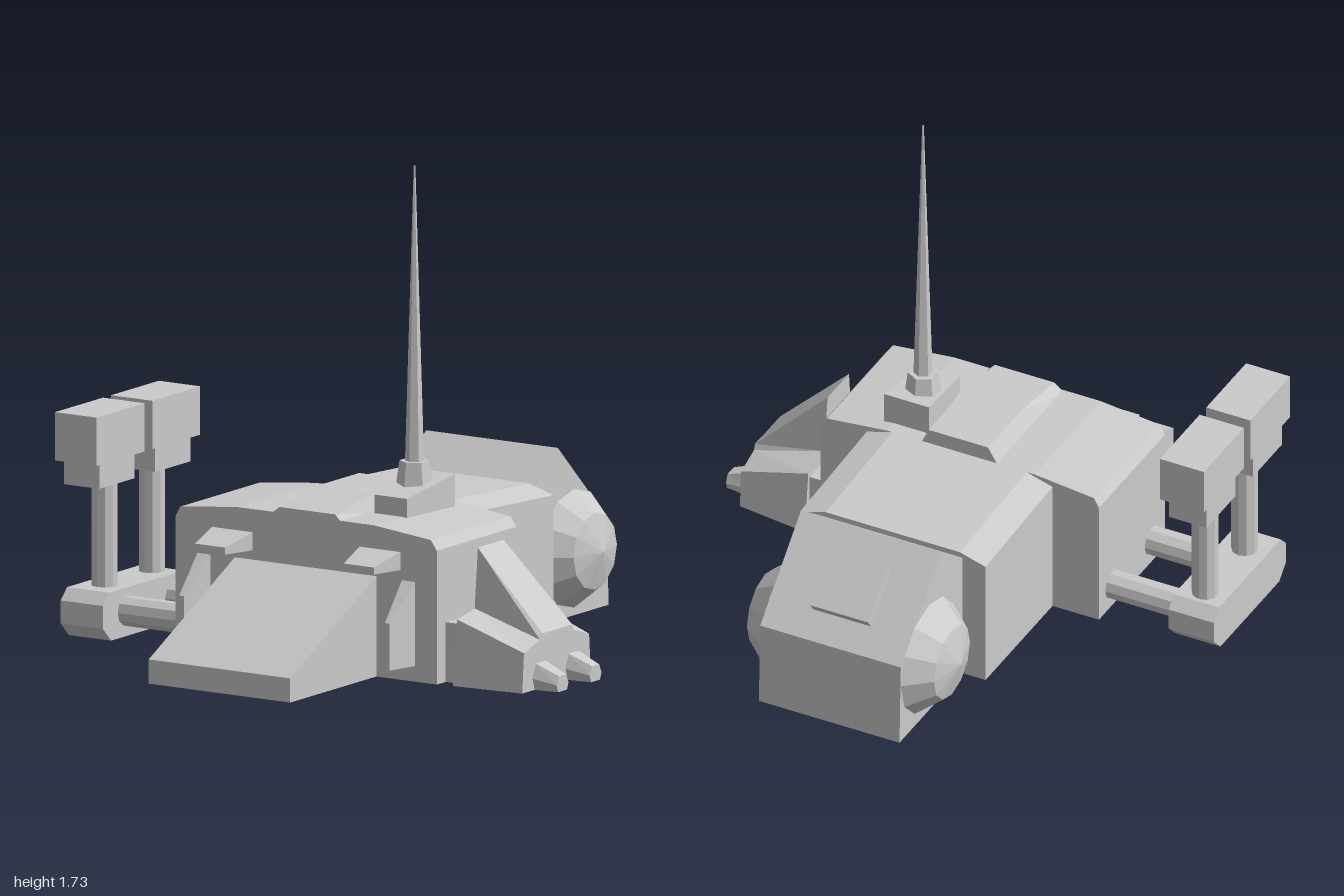
import * as THREE from 'three';

const grey = new THREE.MeshStandardMaterial({ color: 0xcccccc, flatShading: true, side: THREE.DoubleSide });

// Joins equal-length cross-sections [t, [[a, b], ...]] placed along an axis, with closed ends.
// Axis 'z': points are (x, y). Axis 'x': points are (z, y).
function loft(axis, sections) {
  const n = sections[0][1].length;
  const place = (t, [a, b]) => (axis === 'z' ? [a, b, t] : [t, b, a]);
  const pos = sections.flatMap(([t, pts]) => pts.flatMap((p) => place(t, p)));
  let idx = [];
  for (let s = 0; s < sections.length - 1; s++) {
    for (let i = 0; i < n; i++) {
      const a = s * n + i, b = s * n + (i + 1) % n;
      idx.push(a, b, b + n, a, b + n, a + n);
    }
  }
  const outline = (k) => sections[k][1].map(([a, b]) => new THREE.Vector2(a, b));
  const ccw = !THREE.ShapeUtils.isClockWise(outline(0));
  const last = sections.length - 1;
  for (const [k, flip] of [[0, true], [last, false]]) {
    for (const f of THREE.ShapeUtils.triangulateShape(outline(k), [])) {
      const [a, b, c] = f.map((i) => i + k * n);
      const u = outline(k);
      const area = (u[f[1]].x - u[f[0]].x) * (u[f[2]].y - u[f[0]].y) - (u[f[1]].y - u[f[0]].y) * (u[f[2]].x - u[f[0]].x);
      const turn = (area > 0) === ccw;
      idx.push(...(turn !== flip ? [a, b, c] : [a, c, b]));
    }
  }
  // Turn every face outward if the enclosed volume comes out negative
  const v = (i) => new THREE.Vector3().fromArray(pos, i * 3);
  let volume = 0;
  for (let i = 0; i < idx.length; i += 3) volume += v(idx[i]).dot(v(idx[i + 1]).cross(v(idx[i + 2])));
  if (volume < 0) idx = idx.reverse();
  const g = new THREE.BufferGeometry();
  g.setAttribute('position', new THREE.Float32BufferAttribute(pos, 3));
  g.setIndex(idx);
  const flat = g.toNonIndexed();
  flat.computeVertexNormals();
  return flat;
}

const rect = (a0, a1, b0, b1) => [[a0, b0], [a1, b0], [a1, b1], [a0, b1]];

export function createModel() {
  const model = new THREE.Group();
  const add = (name, geometry, parent = model) => {
    const mesh = new THREE.Mesh(geometry, grey);
    mesh.name = name;
    parent.add(mesh);
    return mesh;
  };
  const box = (name, x0, x1, y0, y1, z0, z1, parent) =>
    add(name, loft('z', [[z0, rect(x0, x1, y0, y1)], [z1, rect(x0, x1, y0, y1)]]), parent);

  // Wide main hull with a softly arched roof
  const hull = [[-0.53, 0], [0.55, 0], [0.55, 0.47], [0.525, 0.505], [0.29, 0.53], [-0.28, 0.53], [-0.51, 0.505], [-0.53, 0.47]];
  add('mainHull', loft('z', [[-0.03, hull], [0.465, hull]]));

  // Narrower rear hull, dropping slightly to the back
  const rear = (top) => [[-0.35, 0], [0.37, 0], [0.37, top - 0.03], [0.27, top], [-0.25, top], [-0.35, top - 0.03]];
  add('rearHull', loft('z', [[-0.53, rear(0.505)], [-0.03, rear(0.53)]]));

  // Raised roof panel
  const roof = [[-0.14, 0.52], [0.16, 0.52], [0.13, 0.585], [-0.1, 0.585]];
  add('roofPanel', loft('z', [[-0.03, roof], [0.22, roof], [0.465, roof.map(([x, y]) => [x, Math.min(y, 0.55)])]]));

  // Tail block with a peaked top
  const tail = [[-0.53, 0], [-0.53, 0.485], [-0.685, 0.605], [-0.99, 0.31], [-1, 0]];
  add('tailBlock', loft('x', [[-0.26, tail], [0.285, tail]]));

  // Faceted domes on both tail sides
  for (const s of [-1, 1]) {
    const profile = [[0.21, 0], [0.135, 0.09], [0, 0.125]].map(([r, h]) => new THREE.Vector2(r, h));
    const dome = add(s > 0 ? 'leftTailDome' : 'rightTailDome', new THREE.LatheGeometry(profile, 12));
    dome.rotation.z = -s * Math.PI / 2;
    dome.position.set(s > 0 ? 0.283 : -0.262, 0.235, -0.785);
  }

  // Hatch lying on the rear slope
  const hatch = [[-0.76, 0.52], [-0.79, 0.552], [-0.935, 0.415], [-0.91, 0.38]];
  add('tailHatch', loft('x', [[-0.105, hatch], [0.12, hatch]]));

  // Sloped nose
  const nose = [[0.46, 0], [1, 0], [1, 0.085], [0.46, 0.355]];
  add('noseRamp', loft('x', [[-0.285, nose], [0.3, nose]]));

  for (const s of [-1, 1]) {
    const side = s > 0 ? 'left' : 'right';
    const cx = (x) => 0.01 + s * x;
    // Headlight housings above the nose
    add(side + 'Headlight', loft('z', [
      [0.46, rect(cx(0.22), cx(0.39), 0.385, 0.45)],
      [0.6, rect(cx(0.245), cx(0.37), 0.39, 0.415)],
    ]));
    // Thin tapering fins beside the nose
    add(side + 'NoseFin', loft('z', [
      [0.46, rect(cx(0.395), cx(0.45), 0.055, 0.355)],
      [0.6, rect(cx(0.415), cx(0.435), 0.06, 0.225)],
    ]));
  }

  // Antenna on its wedge mount
  const antenna = new THREE.Group();
  antenna.name = 'antenna';
  model.add(antenna);
  add('antennaMount', loft('z', [
    [0.02, rect(0.155, 0.33, 0.51, 0.64)],
    [0.29, rect(0.175, 0.31, 0.51, 0.595)],
  ]), antenna);
  add('antennaSocket', new THREE.CylinderGeometry(0.052, 0.066, 0.1, 6), antenna).position.set(0.235, 0.645, 0.13);
  add('antennaSpike', new THREE.CylinderGeometry(0.003, 0.033, 1.04, 6), antenna).position.set(0.235, 1.21, 0.13);

  // Side pod on the left, with a short connector and two nozzles
  const pod = new THREE.Group();
  pod.name = 'sidePod';
  model.add(pod);
  box('podConnector', 0.54, 0.62, 0, 0.21, 0.005, 0.41, pod);
  add('podShell', loft('x', [
    [0.61, [[-0.03, 0], [-0.005, 0.23], [0.115, 0.25], [0.14, 0.46], [0.3, 0.46], [0.32, 0.25], [0.43, 0.23], [0.455, 0]]],
    [0.88, [[0.005, 0], [0.015, 0.14], [0.11, 0.17], [0.12, 0.19], [0.305, 0.19], [0.32, 0.17], [0.42, 0.14], [0.43, 0]]],
  ]), pod);
  for (const z of [0.11, 0.315]) {
    const ring = (w, h) => [[z - w * 0.75, 0], [z - w, h * 0.45], [z - w * 0.6, h], [z + w * 0.6, h], [z + w, h * 0.45], [z + w * 0.75, 0]];
    add('podNozzle', loft('x', [[0.87, ring(0.053, 0.095)], [0.97, ring(0.037, 0.055)]]), pod);
  }

  // Twin columns on the right, sharing one chamfered foot
  const columns = new THREE.Group();
  columns.name = 'columns';
  model.add(columns);
  const foot = [[0.02, 0], [0.46, 0], [0.51, 0.05], [0.51, 0.13], [0.47, 0.17], [0.01, 0.17], [-0.03, 0.13], [-0.03, 0.05]];
  add('columnFoot', loft('x', [[-0.975, foot], [-0.8, foot]]), columns);
  for (const [z, cap0, cap1] of [[0.07, -0.09, 0.208], [0.365, 0.257, 0.555]]) {
    const arm = add('columnArm', new THREE.CylinderGeometry(0.053, 0.053, 0.32, 10), columns);
    arm.rotation.z = Math.PI / 2;
    arm.position.set(-0.67, 0.09, z);
    add('columnPost', new THREE.CylinderGeometry(0.047, 0.047, 0.4, 10), columns).position.set(-0.89, 0.36, z);
    box('columnCollar', -0.96, -0.815, 0.54, 0.64, cap0 + 0.035, cap1 - 0.045, columns);
    box('columnCap', -0.968, -0.797, 0.63, 0.8, cap0, cap1, columns);
  }
  return model;
}
